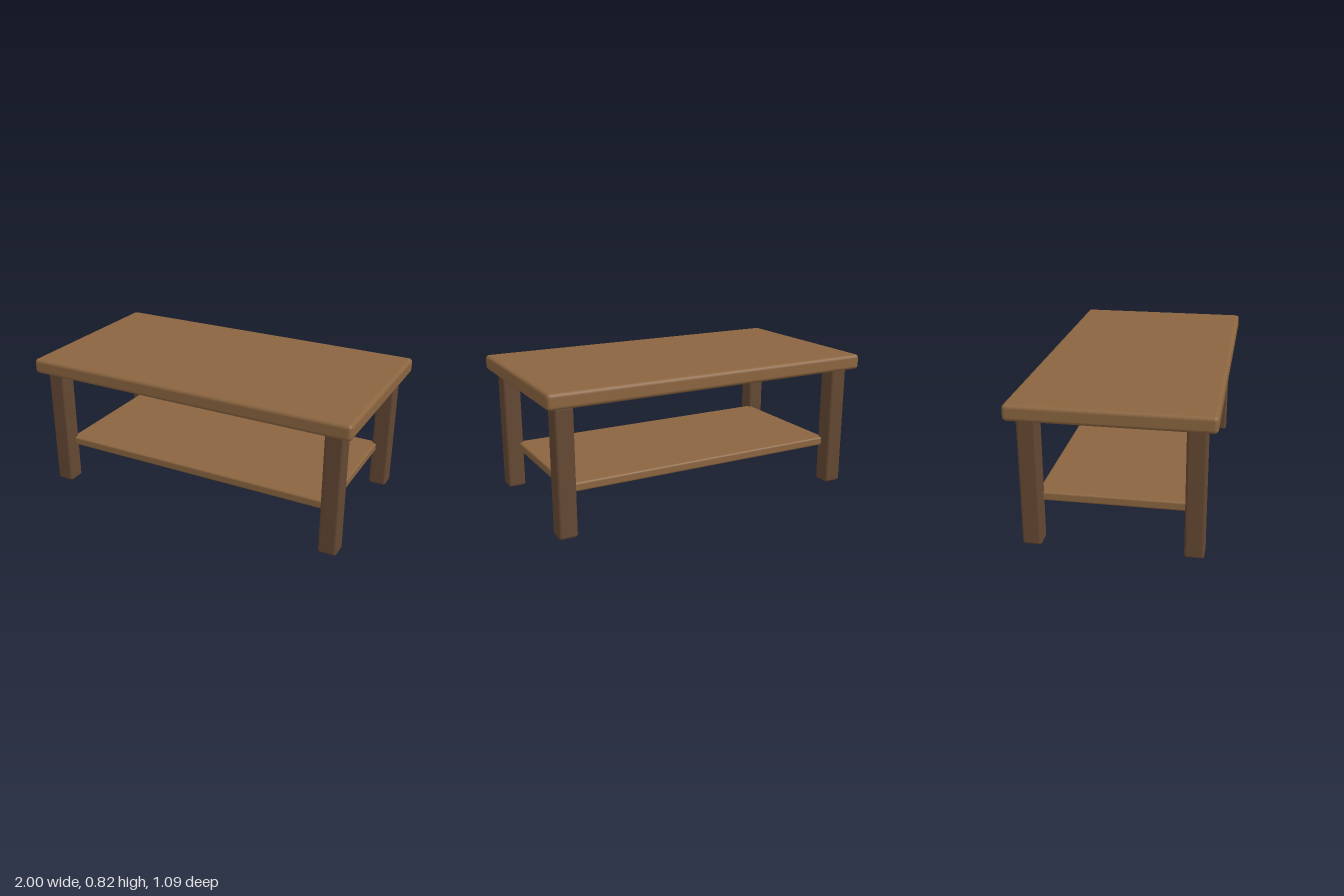
import * as THREE from 'three';
import { RoundedBoxGeometry } from 'three/addons/geometries/RoundedBoxGeometry.js';

export function createModel() {
  const table = new THREE.Group();
  table.name = 'coffeeTable';

  const oak = new THREE.MeshStandardMaterial({ color: 0x8b6540 });
  oak.name = 'warm oak';
  const walnut = new THREE.MeshStandardMaterial({ color: 0x644833 });
  walnut.name = 'dark walnut';

  // Softly rounded wooden board, placed by its underside
  function board(name, [w, h, d], radius, material, x, bottom, z) {
    const mesh = new THREE.Mesh(new RoundedBoxGeometry(w, h, d, 3, radius), material);
    mesh.name = name;
    mesh.position.set(x, bottom + h / 2, z);
    table.add(mesh);
  }

  board('tabletop', [2, 0.09, 1.086], 0.022, oak, 0, 0.73, 0);

  // Lower shelf, its corners let into the legs
  board('shelf', [1.73, 0.052, 0.84], 0.012, oak, 0, 0.23, 0);

  // Four square legs
  for (const [side, x] of [['Left', 0.892], ['Right', -0.892]]) {
    for (const [end, z] of [['front', 0.437], ['back', -0.437]]) {
      board(`${end}${side}Leg`, [0.106, 0.73, 0.106], 0.015, walnut, x, 0, z);
    }
  }

  return table;
}
